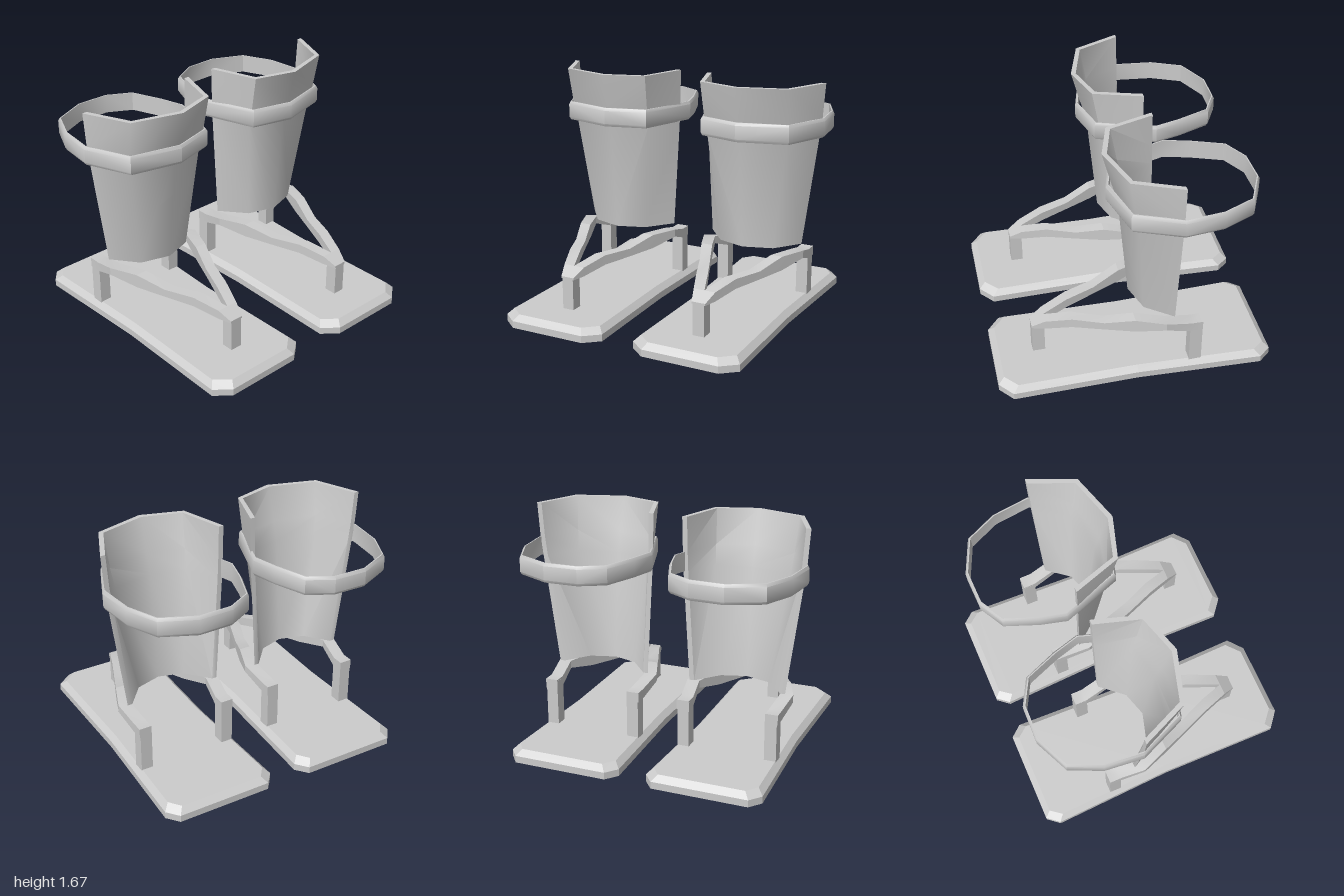
import * as THREE from 'three';
import { toCreasedNormals } from 'three/addons/utils/BufferGeometryUtils.js';

const material = new THREE.MeshStandardMaterial({ color: 0xcccccc });
const CX = 0.51; // middle of one foot

// Skins a row of equal-length cross-sections; loops are ordered so that corner i faces corner n-1-i
function loft(sections, { closed = false, crease = 0.3, side = 1 } = {}) {
  const n = sections[0].length, m = sections.length;
  const pos = sections.flat().flatMap(([x, y, z]) => [x * side, y, z]);
  const index = [];
  const quad = (a, b, c, d) => index.push(a, b, c, a, c, d);
  for (let j = 0; j < (closed ? m : m - 1); j++) {
    for (let i = 0; i < n; i++) {
      const k = (i + 1) % n, a = j * n, b = ((j + 1) % m) * n;
      quad(a + i, a + k, b + k, b + i);
    }
  }
  if (!closed) {
    const e = (m - 1) * n;
    for (let i = 0; i + 1 < n / 2; i++) {
      quad(n - 1 - i, n - 2 - i, i + 1, i);
      quad(e + i, e + i + 1, e + n - 2 - i, e + n - 1 - i);
    }
  }
  // Turn the faces outward, whichever way the loops run
  const p = i => new THREE.Vector3().fromArray(pos, i * 3);
  let volume = 0;
  for (let t = 0; t < index.length; t += 3) {
    volume += p(index[t]).dot(p(index[t + 1]).cross(p(index[t + 2])));
  }
  if (volume < 0) index.reverse();
  const geometry = new THREE.BufferGeometry();
  geometry.setAttribute('position', new THREE.Float32BufferAttribute(pos, 3));
  geometry.setIndex(index);
  return toCreasedNormals(geometry, crease);
}

// Moves a plan point towards the middle of the leg
function inset([x, z], d, [cx, cz]) {
  const l = Math.hypot(cx - x, cz - z);
  return [x + (cx - x) / l * d, z + (cz - z) / l * d];
}

// Sole plate: waisted outline with cut corners and a bevelled top edge
function soleGeometry(side) {
  const half = [[0.28, 0.97], [0.39, 0.88], [0.375, 0], [0.41, -0.885], [0.34, -0.97]];
  const level = (y, sx, sz) => [
    ...half.map(([x, z]) => [CX + x * sx, y, z * sz]),
    ...half.map(([x, z]) => [CX - x * sx, y, z * sz]).reverse(),
  ];
  return loft([level(0, 1, 1), level(0.05, 1, 1), level(0.09, 0.9, 0.955)], { side });
}

// Curved side rail from the toe post to a heel post
function railGeometry(side, dir) {
  // z, distance from the middle, width, bottom, top
  const stations = [
    [0.69, 0.02, 0.06, 0.315, 0.33],
    [0.6, 0.04, 0.08, 0.32, 0.385],
    [0.42, 0.105, 0.085, 0.36, 0.43],
    [0.21, 0.19, 0.08, 0.37, 0.428],
    [0.01, 0.27, 0.085, 0.385, 0.485],
    [-0.19, 0.345, 0.09, 0.425, 0.48],
    [-0.37, 0.32, 0.09, 0.36, 0.43],
    [-0.455, 0.32, 0.09, 0.36, 0.43],
  ];
  return loft(stations.map(([z, off, w, y0, y1]) => {
    const a = CX + dir * (off - w / 2), b = CX + dir * (off + w / 2);
    return [[a, y0, z], [b, y0, z], [b, y1, z], [a, y1, z]];
  }), { side });
}

// Shin guard: thin half shell, open to the back and flaring upward
function guardGeometry(side) {
  const levels = [
    [0.505, [[0.86, -0.255], [0.72, -0.07], [0.51, -0.005], [0.31, -0.07], [0.16, -0.255]]],
    [1.29, [[0.965, -0.255], [0.83, 0], [0.51, 0.07], [0.235, 0.005], [0.115, -0.255]]],
    [1.43, [[0.983, -0.255], [0.845, 0.03], [0.51, 0.11], [0.225, 0.04], [0.11, -0.255]]],
    [1.675, [[1.0, -0.255], [0.86, 0.07], [0.51, 0.175], [0.215, 0.085], [0.105, -0.255]]],
  ];
  const sections = levels[0][1].map((_, i) => {
    const outer = levels.map(([y, pts]) => [pts[i][0], y, pts[i][1]]);
    const inner = levels.map(([y, pts]) => {
      const [x, z] = inset(pts[i], 0.035, [0.52, -0.255]);
      return [x, y, z];
    });
    return [...outer, ...inner.reverse()];
  });
  return loft(sections, { side, crease: 0.95 });
}

// Calf strap: thin faceted hoop with softened edges
function strapGeometry(side) {
  const path = [
    [1.0, -0.26], [0.97, -0.53], [0.87, -0.75], [0.63, -0.86], [0.39, -0.855], [0.215, -0.76],
    [0.125, -0.53], [0.075, -0.345], [0.215, 0.07], [0.51, 0.15], [0.865, 0.06],
  ];
  const profile = [[0.012, 1.295], [0, 1.315], [0, 1.41], [0.012, 1.43], [0.02, 1.43], [0.02, 1.295]];
  return loft(path.map(pt => profile.map(([d, y]) => {
    const [x, z] = inset(pt, d, [0.53, -0.35]);
    return [x, y, z];
  })), { side, closed: true, crease: 0.65 });
}

function buildLeg(side) {
  const leg = new THREE.Group();
  leg.name = side > 0 ? 'leftLeg' : 'rightLeg';
  const add = (name, geometry) => {
    const mesh = new THREE.Mesh(geometry, material);
    mesh.name = name;
    leg.add(mesh);
    return mesh;
  };
  const post = (name, x, z, top) => add(name, new THREE.BoxGeometry(0.085, top - 0.08, 0.088))
    .position.set(side * x, (top + 0.08) / 2, z);

  add('sole', soleGeometry(side));
  post('toePost', CX, 0.645, 0.32);
  for (const [name, dir] of [['outer', 1], ['inner', -1]]) {
    post(name + 'HeelPost', CX + dir * 0.317, -0.411, 0.42);
    add(name + 'Rail', railGeometry(side, dir));
  }
  add('shinGuard', guardGeometry(side));
  add('calfStrap', strapGeometry(side));
  return leg;
}

export function createModel() {
  const model = new THREE.Group();
  model.name = 'legGuards';
  model.add(buildLeg(1), buildLeg(-1));
  return model;
}
